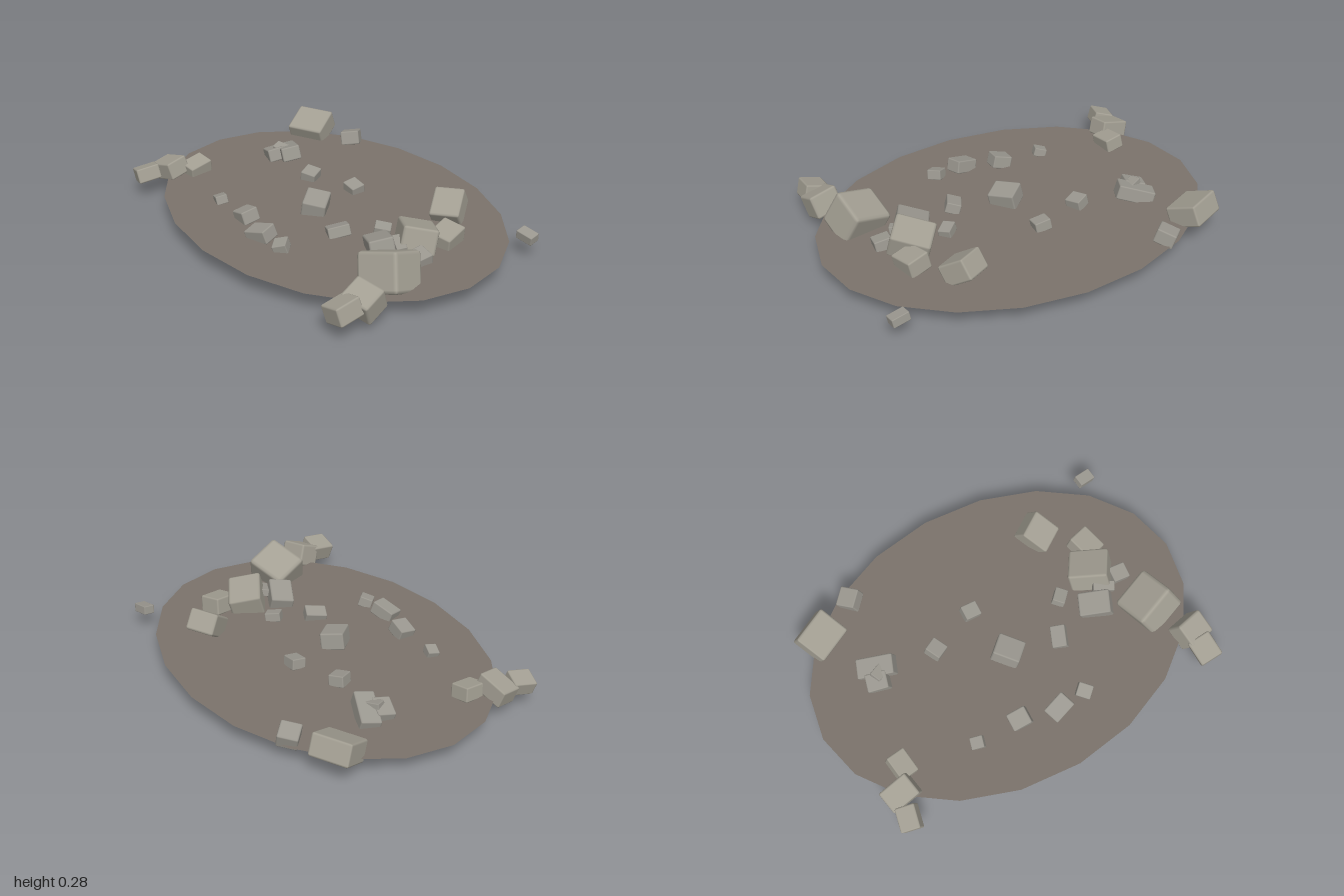
import * as THREE from 'three';
import { RoundedBoxGeometry } from 'three/addons/geometries/RoundedBoxGeometry.js';

// Strongly tilted boulders: [centre], [size], [pitch, yaw, roll]
const BOULDERS = [
  [[-0.76, 0.135, -0.46], [0.2, 0.11, 0.17], [0.42, 0.44, 0]],
  [[0.45, 0.145, -0.38], [0.15, 0.11, 0.16], [0.6, 0.6, 0.1]],
  [[0.57, 0.14, -0.065], [0.2, 0.13, 0.17], [-0.2, -0.62, 0.25]],
  [[0.73, 0.133, 0.235], [0.22, 0.19, 0.2], [-0.36, 0.18, 0.33]],
  [[0.83, 0.12, 0.46], [0.15, 0.12, 0.13], [0.4, 0.15, -0.15]],
];
// Half-sunk rocks: [x, z, width, depth, yaw, optional lift]
const ROCKS = [
  [-0.81, 0.43, 0.16, 0.12, 0.15],
  [0.63, -0.2, 0.12, 0.14, 0.25],
  [-0.835, 0.555, 0.1, 0.12, -0.25],
  [-0.74, 0.315, 0.1, 0.13, 0.1],
  [0.835, 0.58, 0.12, 0.13, 0.02],
];
const STONES = [
  [-0.135, 0.41, 0.1, 0.09, -0.05],
  [-0.605, -0.14, 0.08, 0.06, 0.4, 0.035],
  [0.06, 0.46, 0.125, 0.09, 0.3],
  [-0.305, -0.11, 0.08, 0.085, 0.45],
  [0.255, 0.15, 0.075, 0.11, -0.42],
  [-0.005, 0.085, 0.12, 0.14, 0.7],
  [-0.63, -0.11, 0.11, 0.09, -0.3],
  [0.37, -0.03, 0.08, 0.065, 0.75],
  [-0.54, -0.565, 0.1, 0.1, -0.8],
  [0.69, 0.015, 0.09, 0.08, -0.1],
  [0.21, 0.45, 0.07, 0.075, 0.75],
  [0.835, -0.53, 0.09, 0.06, 0.1],
  [-0.6, -0.18, 0.19, 0.1, -0.4],
  [-0.055, -0.195, 0.085, 0.075, -0.05],
  [-0.37, 0.405, 0.065, 0.06, -0.3],
  [0.58, 0.045, 0.11, 0.05, -0.5, 0.04],
  [0.5, 0.1, 0.16, 0.12, -0.45],
];

// One bevelled block, turned by yaw first and then tilted
function makeBlock(name, material, centre, size, [pitch, yaw, roll]) {
  const bevel = Math.min(...size) * 0.1;
  const block = new THREE.Mesh(new RoundedBoxGeometry(...size, 1, bevel), material);
  block.name = name;
  block.position.set(...centre);
  block.rotation.set(pitch, yaw, roll, 'YXZ');
  return block;
}

// Height follows the footprint, and neighbours lean in opposite directions
function makeSunkBlock(name, material, [x, z, w, d, yaw, lift = 0], index) {
  const h = 0.75 * Math.min(w, d);
  const roll = index % 2 ? -0.15 : 0.28;
  return makeBlock(name, material, [x, 0.085 + 0.4 * h + lift, z], [w, h, d], [0.15, yaw, roll]);
}

export function createModel() {
  const warmStone = new THREE.MeshStandardMaterial({ color: 0xa39f93 });
  warmStone.name = 'warm grey stone';
  const coolStone = new THREE.MeshStandardMaterial({ color: 0x9b9890 });
  coolStone.name = 'cool grey stone';
  const dirt = new THREE.MeshStandardMaterial({ color: 0x7b736b, side: THREE.DoubleSide });
  dirt.name = 'brown grey dirt';

  const model = new THREE.Group();
  model.name = 'rubblePatch';

  // Flat oval patch of ground
  const oval = new THREE.CircleGeometry(1, 20);
  oval.scale(1, 0.745, 1);
  oval.rotateX(-Math.PI / 2);
  const patch = new THREE.Mesh(oval, dirt);
  patch.name = 'groundPatch';
  patch.position.y = 0.09;
  model.add(patch);

  // Scattered rubble
  BOULDERS.forEach((b) => model.add(makeBlock('boulder', warmStone, ...b)));
  ROCKS.forEach((r, i) => model.add(makeSunkBlock('rock', warmStone, r, i)));
  STONES.forEach((s, i) => model.add(makeSunkBlock('smallStone', coolStone, s, i)));
  return model;
}
